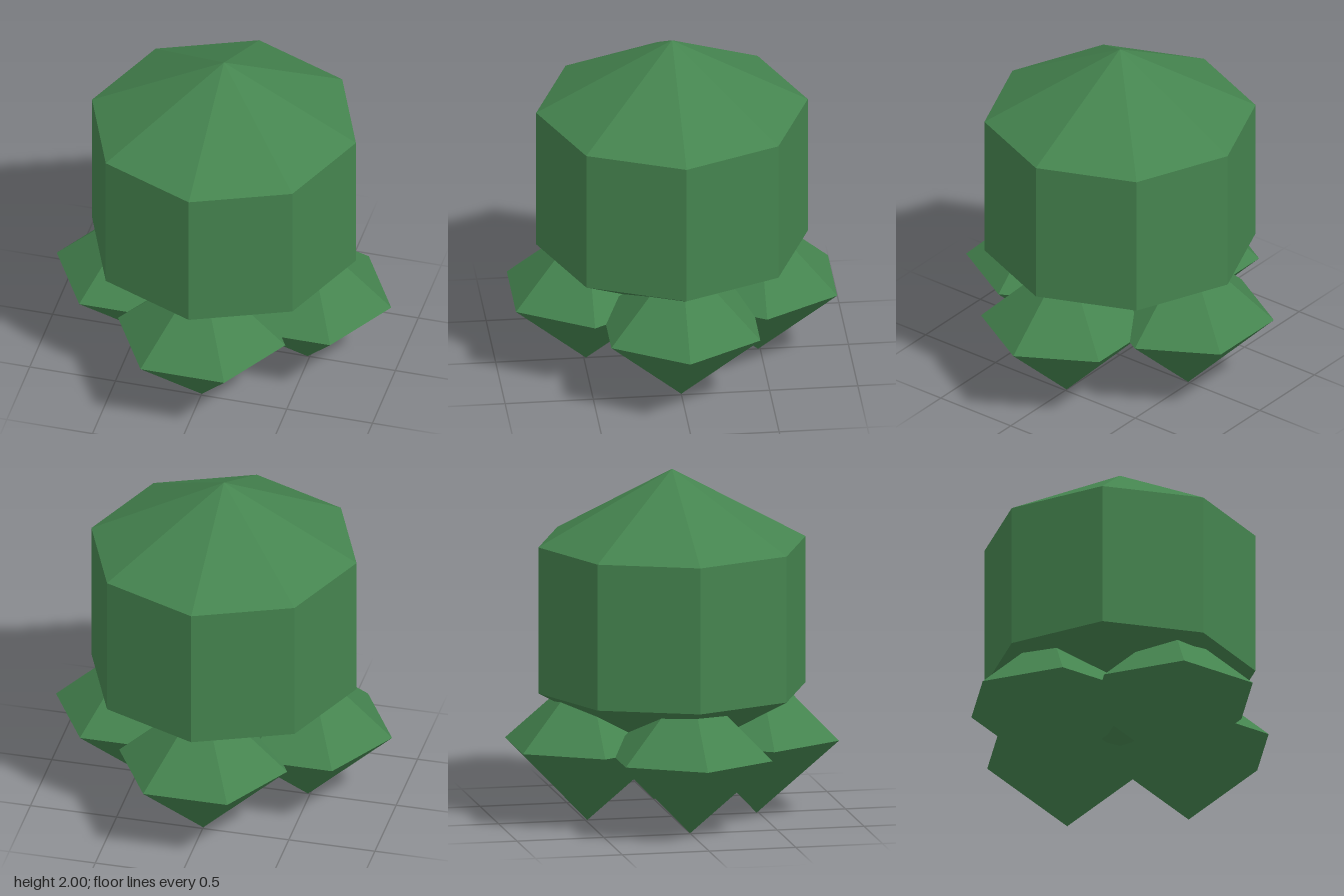
import * as THREE from 'three';

// Faceted solid of revolution from [radius, y] pairs, listed bottom to top
function faceted(name, profile, sides, material) {
  const points = profile.map(([r, y]) => new THREE.Vector2(r, y));
  const mesh = new THREE.Mesh(new THREE.LatheGeometry(points, sides), material);
  mesh.name = name;
  return mesh;
}

export function createModel() {
  const model = new THREE.Group();
  model.name = 'model';
  const green = new THREE.MeshStandardMaterial({ color: 0x45844f, flatShading: true });
  green.name = 'leaf green';

  // Eight-sided body with a pointed top and a pointed underside
  model.add(faceted('body', [[0, 0.32], [0.77, 0.74], [0.77, 1.58], [0, 2]], 8, green));

  // Four six-sided double-pyramid feet, all turned the same way
  const names = ['leftFoot', 'frontFoot', 'rightFoot', 'backFoot'];
  names.forEach((name, i) => {
    const angle = i * Math.PI / 2;
    const foot = faceted(name, [[0, 0], [0.488, 0.445], [0, 0.89]], 6, green);
    foot.rotation.y = Math.PI / 2;
    foot.position.set(0.488 * Math.cos(angle), 0, 0.488 * Math.sin(angle));
    model.add(foot);
  });

  return model;
}
